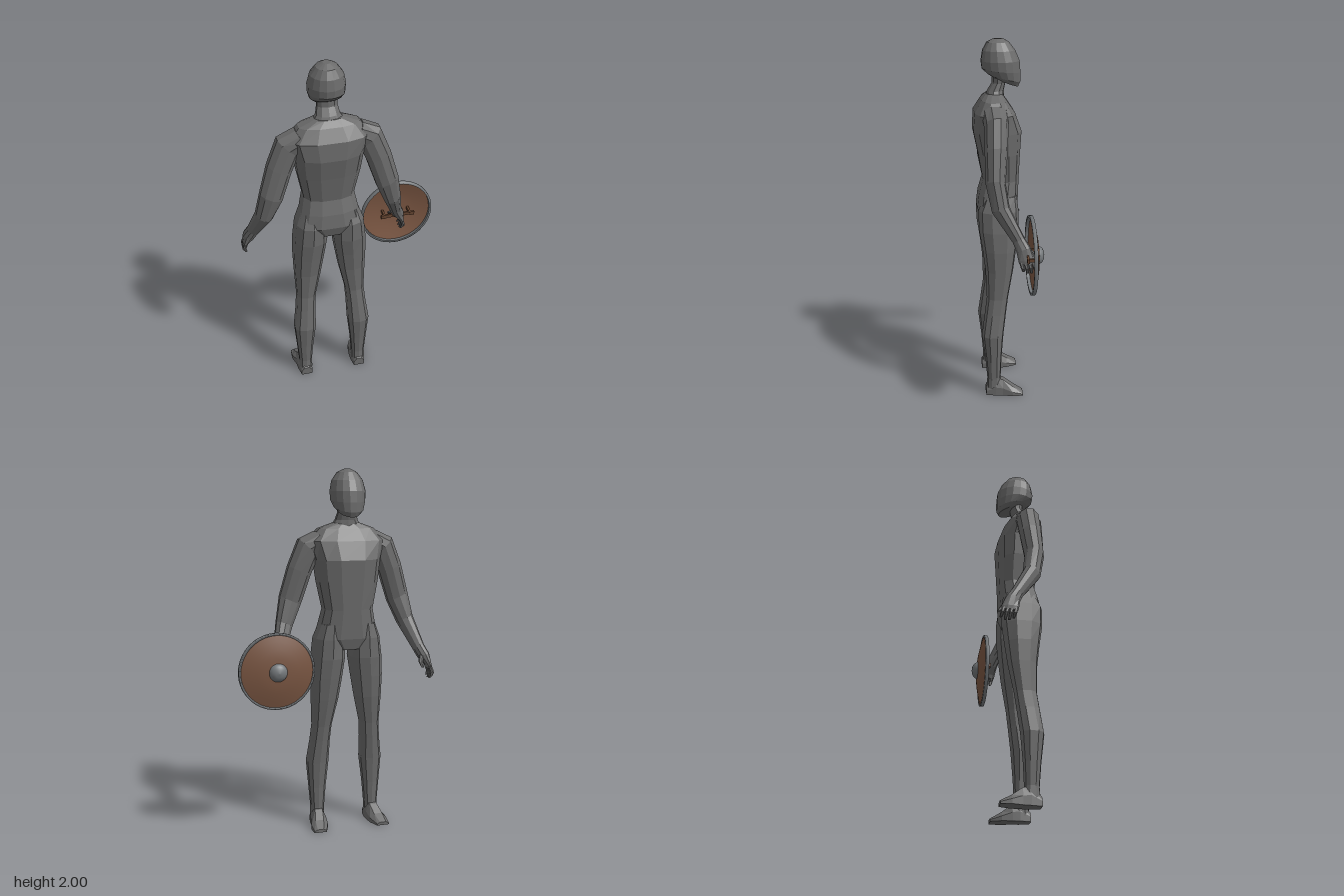
import * as THREE from 'three';

const mat = (name, color, side = THREE.FrontSide) => {
  const m = new THREE.MeshStandardMaterial({ color, side });
  m.name = name;
  return m;
};

// Faceted skin over point loops with end caps; s = -1 mirrors across x
function skin(loops, s = 1) {
  const L = loops.map(l => {
    const pts = l.map(p => [p[0] * s, p[1], p[2]]);
    return s < 0 ? pts.reverse() : pts;
  });
  const pos = [];
  const tri = (a, b, c) => pos.push(...a, ...b, ...c);
  const n = L[0].length;
  for (let i = 0; i < L.length - 1; i++) {
    for (let j = 0; j < n; j++) {
      const k = (j + 1) % n;
      tri(L[i][j], L[i][k], L[i + 1][k]);
      tri(L[i][j], L[i + 1][k], L[i + 1][j]);
    }
  }
  const first = L[0], last = L[L.length - 1];
  for (let j = 1; j < n - 1; j++) {
    tri(first[0], first[j + 1], first[j]);
    tri(last[0], last[j], last[j + 1]);
  }
  const g = new THREE.BufferGeometry();
  g.setAttribute('position', new THREE.Float32BufferAttribute(pos, 3));
  g.computeVertexNormals();
  return g;
}

// Rings from top to bottom: [x, y, z, rx, rz, slope along x, slope along z]
function loft(rings, n, s = 1, power = 1) {
  const bend = v => Math.sign(v) * Math.pow(Math.abs(v), power);
  return skin(rings.map(([x, y, z, rx, rz, sx = 0, sz = 0]) =>
    Array.from({ length: n }, (_, j) => {
      const a = ((j + 0.5) / n) * Math.PI * 2;
      const dx = rx * bend(Math.cos(a)), dz = rz * bend(Math.sin(a));
      return [x + dx, y + sx * dx + sz * dz, z + dz];
    })), s);
}

// Limb ring from its extents: height, inner x, outer x, back z, front z
const span = (y, xi, xo, zb, zf) =>
  [(xi + xo) / 2, y, (zb + zf) / 2, (xo - xi) / 2, (zb - zf) / 2];

export function createModel() {
  const model = new THREE.Group();
  model.name = 'shieldBearer';
  const body = new THREE.Group();
  body.name = 'body';
  body.position.x = -0.085;
  const shield = new THREE.Group();
  shield.name = 'shield';
  shield.position.set(0.345, 0.945, 0);
  model.add(body, shield);

  const skinGrey = mat('bodyGrey', 0x6a6a6a);
  const wood = mat('shieldWood', 0x7a5642, THREE.DoubleSide);
  const steel = mat('steel', 0x74787b);
  const grip = mat('gripBrown', 0x63432f);

  const add = (parent, name, geo, m) => {
    const mesh = new THREE.Mesh(geo, m);
    mesh.name = name;
    parent.add(mesh);
    return mesh;
  };

  // Head, with the jaw sloping down towards the face at -z
  add(body, 'head', loft([
    [0, 2.0, 0.025, 0.02, 0.025],
    [0, 1.982, 0.027, 0.055, 0.06],
    [0, 1.94, 0.022, 0.085, 0.088],
    [0, 1.885, 0.015, 0.097, 0.104],
    [0, 1.835, 0.01, 0.094, 0.104, 0, 0.1],
    [0, 1.795, -0.005, 0.08, 0.088, 0, 0.25],
    [0, 1.772, -0.015, 0.055, 0.066, 0, 0.38],
  ], 16), skinGrey);

  add(body, 'neck', loft([
    [0, 1.83, 0.015, 0.056, 0.045],
    [0, 1.77, 0.023, 0.055, 0.037],
    [0, 1.73, 0.04, 0.064, 0.045],
    [0, 1.68, 0.05, 0.1, 0.055],
  ], 10), skinGrey);

  // Torso from collar to crotch
  add(body, 'torso', loft([
    span(1.715, -0.075, 0.075, 0.092, 0.005),
    span(1.685, -0.16, 0.16, 0.12, -0.015),
    span(1.62, -0.215, 0.215, 0.16, -0.06),
    span(1.52, -0.185, 0.185, 0.168, -0.097),
    span(1.4, -0.17, 0.17, 0.143, -0.09),
    span(1.25, -0.14, 0.14, 0.117, -0.083),
    span(1.17, -0.157, 0.157, 0.14, -0.08),
    span(1.09, -0.18, 0.18, 0.15, -0.076),
    span(1.03, -0.1, 0.1, 0.13, -0.06),
  ], 12, 1, 0.75), skinGrey);

  for (const [side, s] of [['left', 1], ['right', -1]]) {
    // Legs
    add(body, side + 'Leg', loft([
      span(1.17, 0.04, 0.155, 0.11, -0.065),
      span(1.09, 0.02, 0.186, 0.145, -0.075),
      span(0.98, 0.014, 0.2, 0.142, -0.075),
      span(0.87, 0.03, 0.205, 0.125, -0.062),
      span(0.75, 0.05, 0.202, 0.11, -0.045),
      span(0.59, 0.085, 0.196, 0.105, -0.015),
      span(0.5, 0.092, 0.204, 0.117, -0.003),
      span(0.37, 0.095, 0.222, 0.135, 0.013),
      span(0.22, 0.112, 0.21, 0.117, 0.025),
      span(0.1, 0.122, 0.2, 0.107, 0.03),
      span(0.03, 0.122, 0.202, 0.112, 0.025),
    ], 10, s, 0.85), skinGrey);

    // Feet, from heel to toes: [z, centre x, half width, height]
    const foot = [[0.115, 0.162, 0.032, 0.05], [0.06, 0.163, 0.042, 0.1],
      [0.02, 0.165, 0.043, 0.09], [-0.035, 0.176, 0.048, 0.05], [-0.093, 0.186, 0.035, 0.018]];
    add(body, side + 'Foot', skin(foot.map(([z, x, w, h]) => [
      [x - w, 0, z], [x - w, h * 0.5, z], [x - w * 0.5, h, z],
      [x + w * 0.5, h, z], [x + w, h * 0.5, z], [x + w, 0, z],
    ]), s), skinGrey);

    // Arms, down to the wrist and palm
    add(body, side + 'Arm', loft([
      [0.14, 1.625, 0.055, 0.035, 0.07, 1.4],
      [0.213, 1.58, 0.055, 0.055, 0.064, 0.95],
      [0.262, 1.46, 0.06, 0.064, 0.06, 0.45],
      [0.312, 1.3, 0.068, 0.06, 0.052, 0.45],
      [0.352, 1.17, 0.045, 0.046, 0.046, 0.35, -0.3],
      [0.404, 1.02, -0.042, 0.032, 0.03, 0.3, -0.45],
      [0.425, 0.975, -0.065, 0.032, 0.037, 0.3, -0.3],
      [0.447, 0.925, -0.08, 0.017, 0.044],
      [0.45, 0.905, -0.082, 0.012, 0.042],
    ], 10, s), skinGrey);

    // Curled fingers and thumb
    const hand = new THREE.Group();
    hand.name = side + 'Fingers';
    body.add(hand);
    for (let i = 0; i < 4; i++) {
      const z = -0.05 - i * 0.021, drop = [0.01, 0, 0, 0.012][i];
      add(hand, 'finger', loft([
        [0.45, 0.915, z, 0.011, 0.01],
        [0.459, 0.885, z - 0.008, 0.01, 0.01],
        [0.447, 0.852 + drop, z - 0.014, 0.006, 0.007],
      ], 6, s), skinGrey);
    }
    add(hand, 'thumb', loft([
      [0.412, 0.985, -0.075, 0.014, 0.016],
      [0.392, 0.95, -0.11, 0.013, 0.013],
      [0.396, 0.92, -0.132, 0.007, 0.008],
    ], 6, s), skinGrey);
  }

  // Round shield facing -z: domed board, metal rim and boss
  const turned = (name, pts, m) => add(shield, name, new THREE.LatheGeometry(
    pts.map(p => new THREE.Vector2(p[0], p[1])), 40).rotateX(-Math.PI / 2), m);
  turned('board', [[0.2, 0.112], [0.16, 0.123], [0.115, 0.133], [0.07, 0.14], [0, 0.143]], wood);
  turned('rim', [[0.196, 0.096], [0.208, 0.096], [0.208, 0.115], [0.196, 0.116], [0.196, 0.096]], steel);
  turned('boss', [[0.05, 0.14], [0.046, 0.15], [0.036, 0.162], [0.02, 0.17], [0, 0.173]], steel);

  // Handle bar on two posts behind the board
  const box = (name, w, h, d, x, z) =>
    add(shield, name, new THREE.BoxGeometry(w, h, d), grip).position.set(x, 0, z);
  box('handleBar', 0.15, 0.02, 0.01, 0, -0.083);
  for (const s of [-1, 1]) {
    box('handleFoot', 0.03, 0.022, 0.012, s * 0.083, -0.08);
    box('handlePost', 0.012, 0.016, 0.055, s * 0.075, -0.108);
  }
  return model;
}
